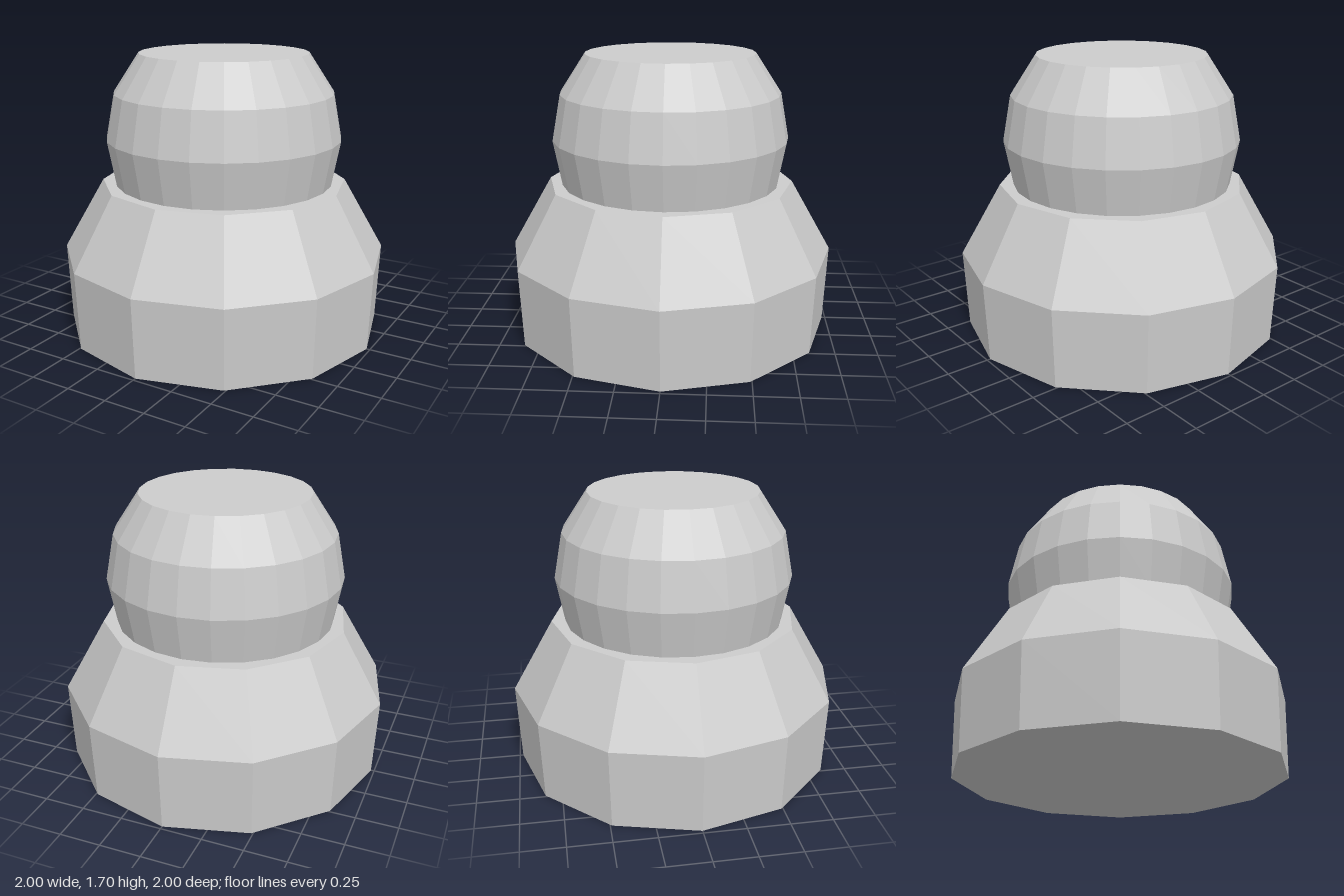
import * as THREE from 'three';

// Closed faceted solid of revolution from [radius, height] pairs, bottom to top
function turned(name, profile, sides, material) {
  const points = profile.map(([r, y]) => new THREE.Vector2(r, y));
  const mesh = new THREE.Mesh(new THREE.LatheGeometry(points, sides), material);
  mesh.name = name;
  return mesh;
}

export function createModel() {
  const group = new THREE.Group();
  group.name = 'domedPost';

  const grey = new THREE.MeshStandardMaterial({ color: 0xcccccc, flatShading: true });
  grey.name = 'light grey';

  // Twelve-sided base with a sloping shoulder
  group.add(turned('base', [[0, 0], [0.98, 0], [1, 0.48], [0.75, 0.915], [0, 0.915]], 12, grey));

  // Rounded knob with a flat top, sitting on the base
  group.add(turned('knob',
    [[0, 0.91], [0.665, 0.91], [0.717, 1.19], [0.665, 1.465], [0.51, 1.7], [0, 1.7]], 24, grey));

  return group;
}
